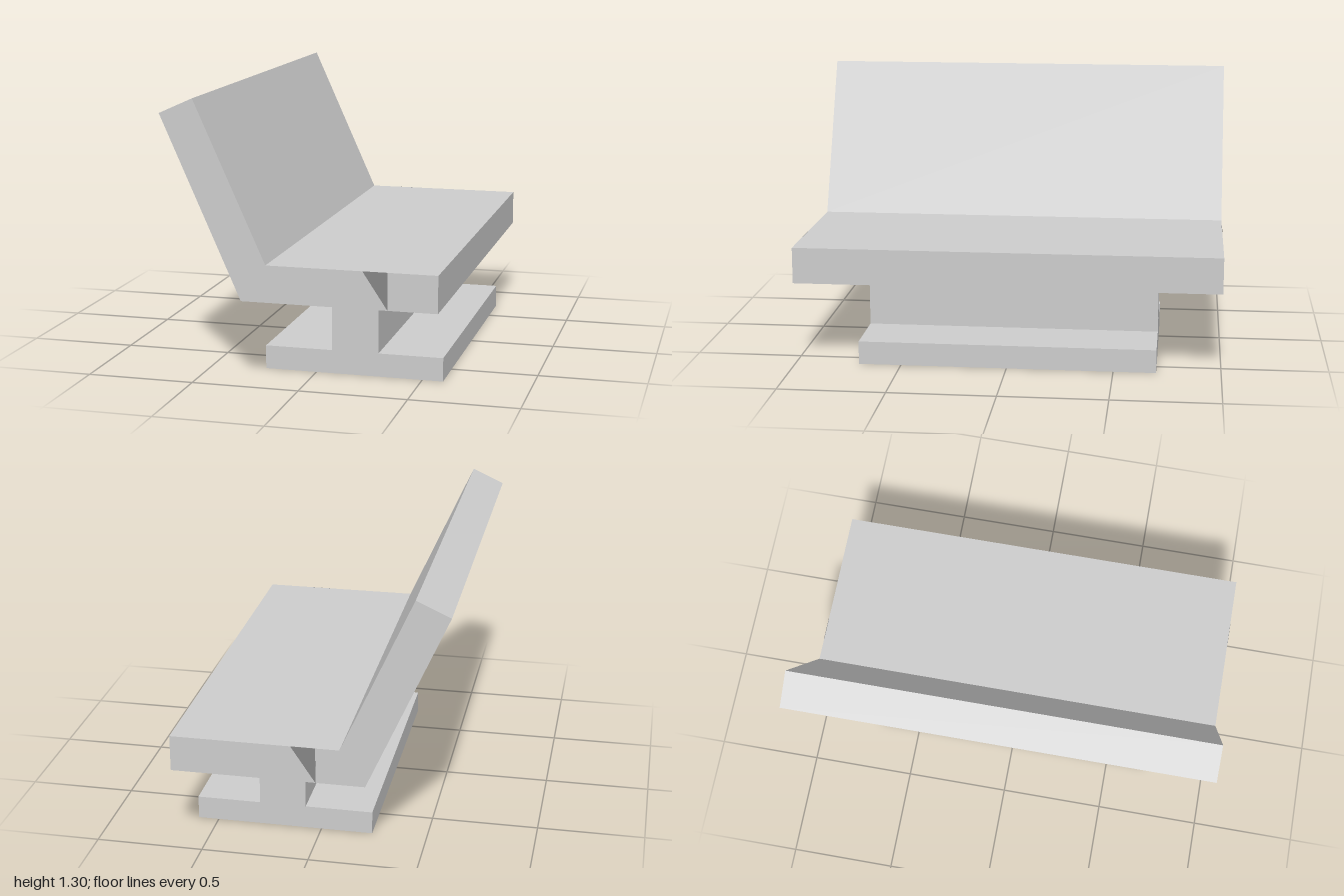
import * as THREE from 'three';

const lightGrey = new THREE.MeshStandardMaterial({ color: 0xcccccc });
lightGrey.name = 'lightGrey';
const darkGrey = new THREE.MeshStandardMaterial({ color: 0x858585 });
darkGrey.name = 'darkGrey';

// Extrudes an x-y profile along z, centred on the given z
function prism(name, points, depth, material, z = 0) {
  const shape = new THREE.Shape(points.map(([x, y]) => new THREE.Vector2(x, y)));
  const geometry = new THREE.ExtrudeGeometry(shape, { depth, bevelEnabled: false });
  geometry.translate(0, 0, z - depth / 2);
  const mesh = new THREE.Mesh(geometry, material);
  mesh.name = name;
  return mesh;
}

export function createModel() {
  const bench = new THREE.Group();
  bench.name = 'bench';

  // Seat and leaning backrest share one bent profile
  bench.add(prism('seatAndBackrest', [
    [-0.263, 0.395], [0.632, 0.395], [0.632, 0.565],
    [-0.147, 0.565], [-0.476, 1.296], [-0.632, 1.226],
  ], 1.998, lightGrey));

  // Foot plate with an upright post, an inverted T
  bench.add(prism('pedestal', [
    [-0.243, 0], [0.597, 0], [0.597, 0.11], [0.295, 0.11],
    [0.295, 0.395], [0.075, 0.395], [0.075, 0.11], [-0.243, 0.11],
  ], 1.4, lightGrey));

  // Dark triangle on each end of the seat, mirrored about the post
  const postCentre = 0.185;
  for (const side of [1, -1]) {
    const triangle = [[0.11, 0.565], [0.223, 0.395], [0.223, 0.565]]
      .map(([x, y]) => [postCentre + side * x, y]);
    bench.add(prism(side > 0 ? 'frontEndTriangle' : 'backEndTriangle',
      triangle, 0.002, darkGrey, side * 0.999));
  }
  return bench;
}
